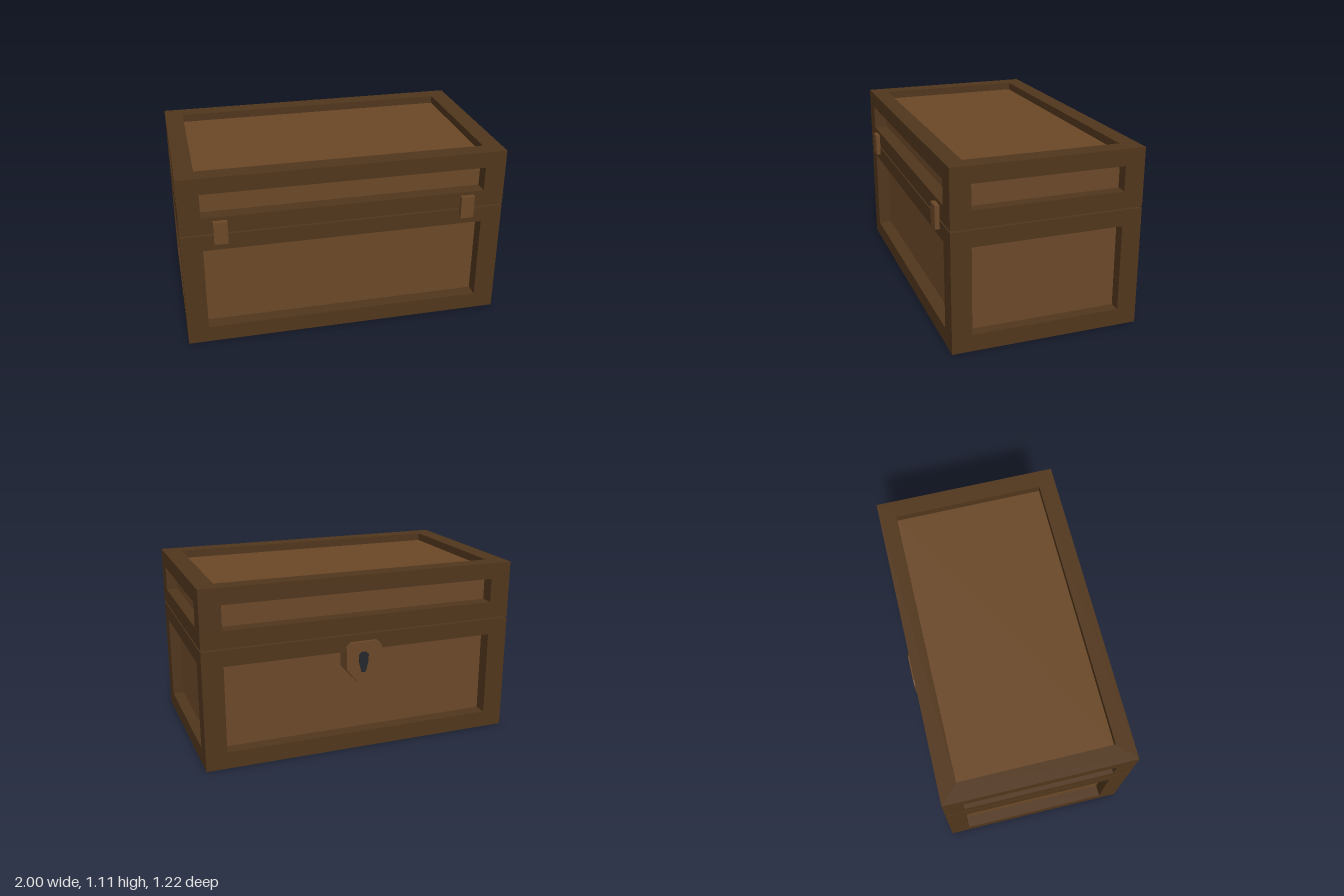
import * as THREE from 'three';

const frameMat = new THREE.MeshStandardMaterial({ color: 0x51361c });
const panelMat = new THREE.MeshStandardMaterial({ color: 0x6b4828 });
const darkMat = new THREE.MeshStandardMaterial({ color: 0x23282d });

// Half sizes of the chest and its centre in z
const HX = 1, HZ = 0.583, CZ = -0.003;

function add(parent, name, geometry, material, x = 0, y = 0, z = 0) {
  const mesh = new THREE.Mesh(geometry, material);
  mesh.name = name;
  mesh.position.set(x, y, z);
  parent.add(mesh);
  return mesh;
}

const box = (w, h, d) => new THREE.BoxGeometry(w, h, d);

function rectangle(Type, hx, hy) {
  return new Type([[-hx, -hy], [hx, -hy], [hx, hy], [-hx, hy]].map(([x, y]) => new THREE.Vector2(x, y)));
}

// Horizontal rectangular ring of rails from y0 to y1
function addRing(parent, name, y0, y1) {
  const shape = rectangle(THREE.Shape, HX, HZ);
  shape.holes.push(rectangle(THREE.Path, 0.885, 0.475));
  const geometry = new THREE.ExtrudeGeometry(shape, { depth: y1 - y0, bevelEnabled: false });
  geometry.rotateX(-Math.PI / 2);
  add(parent, name, geometry, frameMat, 0, y0, 0);
}

// One half of the chest: two rings, four posts, four recessed side panels
function makeHalf(name, y0, y1, y2, y3, panelName, panelY) {
  const half = new THREE.Group();
  half.name = name;
  half.position.z = CZ;
  addRing(half, 'lowerRails', y0, y1);
  addRing(half, 'upperRails', y2, y3);
  const h = y2 - y1, cy = (y1 + y2) / 2;
  for (const sx of [-1, 1]) {
    for (const sz of [-1, 1]) {
      add(half, 'cornerPost', box(0.13, h, 0.122), frameMat, sx * (HX - 0.065), cy, sz * (HZ - 0.061));
    }
    add(half, 'sidePanel', box(0.03, h, 0.93), panelMat, sx * 0.915, cy, 0);
  }
  for (const sz of [-1, 1]) {
    add(half, 'longPanel', box(1.75, h, 0.02), panelMat, 0, cy, sz * 0.488);
  }
  add(half, panelName, box(1.77, 0.03, 0.95), panelMat, 0, panelY, 0);
  return half;
}

// Shield outline, scaled about its middle
function shield(Type, s) {
  const side = [[0.085, 0.133], [0.115, 0.1], [0.115, -0.04], [0.03, -0.133]];
  const points = [...side, ...side.slice().reverse().map(([x, y]) => [-x, y])];
  return new Type(points.map(([x, y]) => new THREE.Vector2(x * s, y * s)));
}

// Lock on the back: raised rim, sunken face and keyhole
function makeLock() {
  const lock = new THREE.Group();
  lock.name = 'lock';
  lock.position.set(0.003, 0.57, -0.49);
  lock.rotation.y = Math.PI;
  const extrude = (shape, depth) => new THREE.ExtrudeGeometry(shape, { depth, bevelEnabled: false });
  const rim = shield(THREE.Shape, 1);
  rim.holes.push(shield(THREE.Path, 0.7));
  add(lock, 'lockRim', extrude(rim, 0.118), panelMat);
  add(lock, 'lockFace', extrude(shield(THREE.Shape, 0.72), 0.104), panelMat);
  const keyhole = new THREE.Shape([[0.016, 0.065], [0.032, 0.045], [0.03, 0], [0.014, -0.065],
    [-0.014, -0.065], [-0.03, 0], [-0.032, 0.045], [-0.016, 0.065]].map(([x, y]) => new THREE.Vector2(x, y)));
  add(lock, 'keyhole', extrude(keyhole, 0.006), darkMat, 0, 0, 0.102);
  return lock;
}

export function createModel() {
  const chest = new THREE.Group();
  chest.name = 'chest';
  chest.add(makeHalf('base', 0, 0.105, 0.645, 0.745, 'bottomPanel', 0.06));
  chest.add(makeHalf('lid', 0.755, 0.86, 1.012, 1.113, 'topPanel', 1.048));

  // Hinges bridging the gap between base and lid
  for (const s of [-1, 1]) {
    add(chest, 'hinge', box(0.084, 0.143, 0.088), panelMat, s * 0.761, 0.766, 0.564);
  }
  chest.add(makeLock());
  return chest;
}
